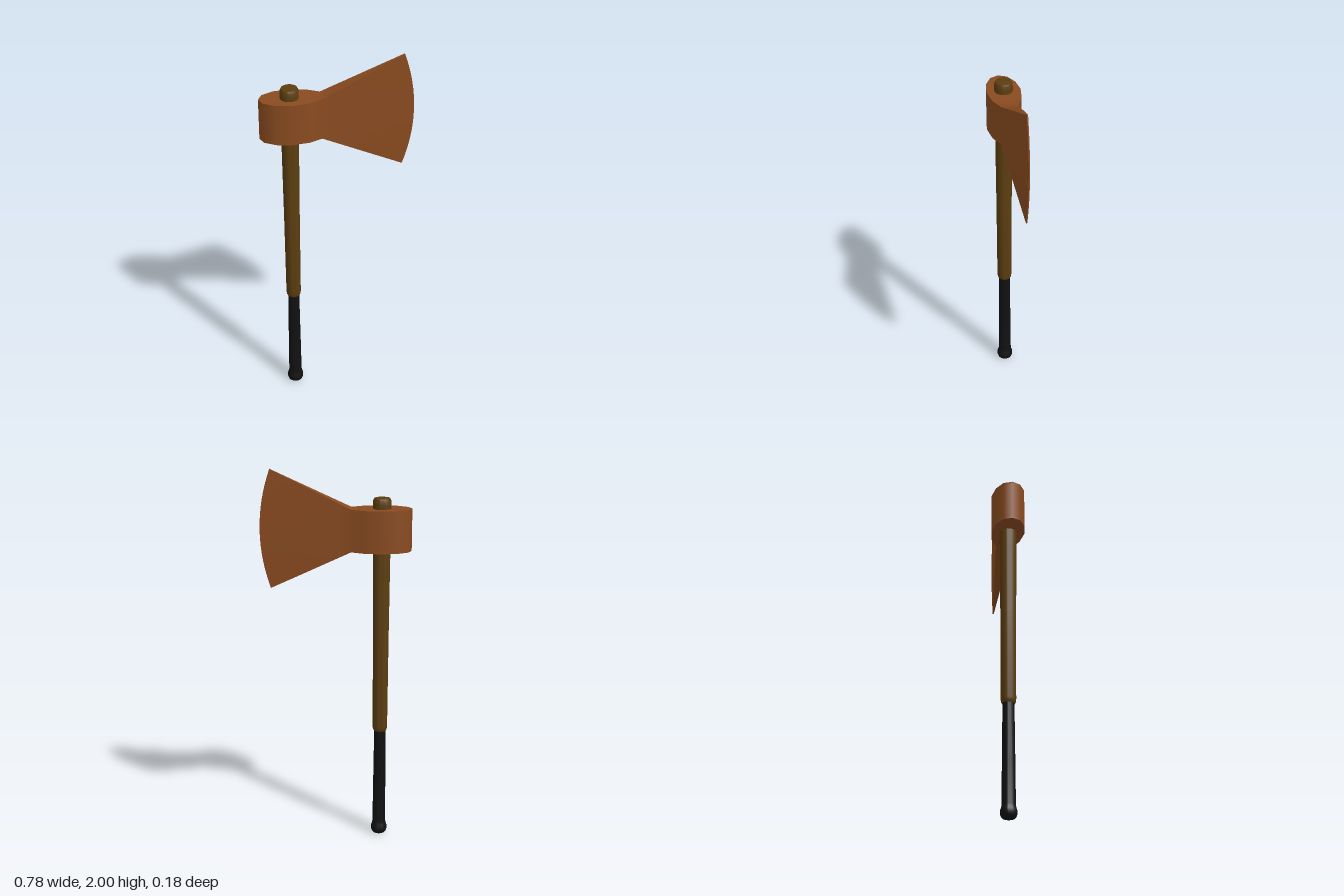
import * as THREE from 'three';
import { toCreasedNormals } from 'three/addons/utils/BufferGeometryUtils.js';

const HANDLE_X = -0.237;
const HEAD_Y = 1.69;

function addMesh(group, name, geometry, color) {
  const mesh = new THREE.Mesh(geometry, new THREE.MeshStandardMaterial({ color }));
  mesh.name = name;
  group.add(mesh);
  return mesh;
}

// Axe head: rings of points lofted along x, from the poll to the cutting edge
function headGeometry() {
  const rows = 16;
  // x, half thickness, half height, bulge of the edge
  const stations = [
    [-0.391, 0, 0.11, 0], [-0.371, 0.044, 0.11, 0], [-0.313, 0.076, 0.11, 0],
    [-0.236, 0.088, 0.11, 0], [-0.147, 0.075, 0.11, 0],
  ];
  const steps = 8;
  for (let i = 0; i <= steps; i++) {
    const t = i / steps;
    stations.push([-0.08 + 0.416 * t, 0.043 - 0.04 * t, 0.11 + 0.2 * t, 0.054 * t * t]);
  }

  const positions = [];
  const indices = [];
  const ring = 2 * (rows + 1);
  for (const [x, halfZ, halfY, bulge] of stations) {
    for (let j = 0; j < ring; j++) {
      const front = j <= rows;
      const v = ((front ? j : ring - 1 - j) / rows) * 2 - 1;
      positions.push(x + bulge * (1 - v * v), HEAD_Y + v * halfY, front ? halfZ : -halfZ);
    }
  }
  const quad = (a, b, c, d) => indices.push(a, b, c, a, c, d);
  for (let i = 0; i < stations.length - 1; i++) {
    for (let j = 0; j < ring; j++) {
      const a = i * ring + j;
      const b = i * ring + ((j + 1) % ring);
      quad(a, a + ring, b + ring, b);
    }
  }
  // Narrow strip closing the cutting edge
  const last = (stations.length - 1) * ring;
  for (let k = 0; k < rows; k++) {
    quad(last + k, last + ring - 1 - k, last + ring - 2 - k, last + k + 1);
  }
  const geometry = new THREE.BufferGeometry();
  geometry.setAttribute('position', new THREE.Float32BufferAttribute(positions, 3));
  geometry.setIndex(indices);
  return toCreasedNormals(geometry, 0.95);
}

// Round part turned from radius/height pairs, bottom to top
function turned(profile) {
  const points = profile.map(([r, y]) => new THREE.Vector2(r, y));
  return toCreasedNormals(new THREE.LatheGeometry(points, 32), 0.7);
}

export function createModel() {
  const group = new THREE.Group();
  group.name = 'axe';

  addMesh(group, 'axeHead', headGeometry(), 0x8a4b20);

  // Wooden shaft, slightly thicker towards the head
  const shaft = addMesh(group, 'shaft', turned([
    [0, 0.595], [0.033, 0.597], [0.037, 0.605], [0.039, 0.62], [0.041, 1.1],
    [0.044, 1.5], [0.047, 1.82], [0.046, 1.843], [0.041, 1.853], [0, 1.857],
  ]), 0x5c3e10);

  // Dark grip with a rounded pommel
  const grip = addMesh(group, 'grip', turned([
    [0, 0], [0.03, 0.002], [0.038, 0.01], [0.043, 0.025], [0.042, 0.042],
    [0.037, 0.055], [0.035, 0.07], [0.033, 0.3], [0.03, 0.6], [0, 0.6],
  ]), 0x111111);

  shaft.position.x = grip.position.x = HANDLE_X;
  return group;
}
